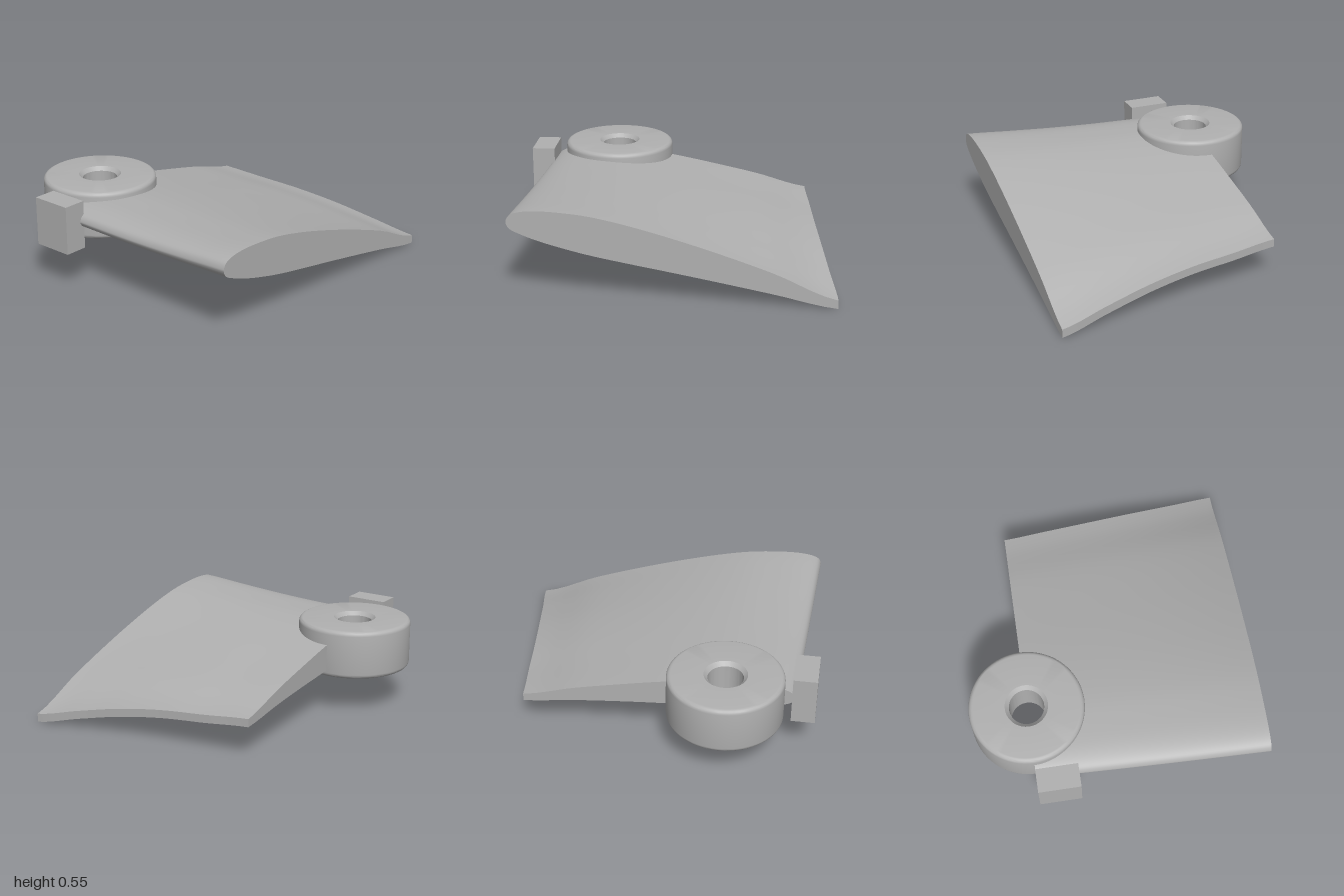
import * as THREE from 'three';
import { toCreasedNormals } from 'three/addons/utils/BufferGeometryUtils.js';

const HUB = { x: -0.455, z: -0.54, r: 0.355, bore: 0.108, y0: 0.25, y1: 0.555 };
const FRONT = 0.89, BACK = -0.54;

// Smooth 1D function on 0..1 through evenly spaced values
function smooth(values) {
  const c = new THREE.SplineCurve(values.map((y, i) => new THREE.Vector2(i, y)));
  return (t) => c.getPoint(t).y;
}

// Section heights from leading edge to trailing edge (spacing is quadratic in chord)
const tip = {
  upper: smooth([0.475, 0.515, 0.538, 0.547, 0.542, 0.523, 0.478, 0.41, 0.32, 0.205, 0.055]),
  lower: smooth([0.475, 0.435, 0.405, 0.368, 0.328, 0.285, 0.243, 0.197, 0.142, 0.077, 0.002]),
};
const root = {
  upper: smooth([0.42, 0.455, 0.48, 0.497, 0.503, 0.503, 0.485, 0.45, 0.4, 0.338, 0.255]),
  lower: smooth([0.42, 0.392, 0.368, 0.342, 0.322, 0.31, 0.3, 0.288, 0.27, 0.244, 0.205]),
};
// Blend from tip to root along the span, for height and for the trailing edge
const twist = smooth([0, 0.31, 0.6, 0.79, 0.89, 1]);
const trailingX = smooth([0.995, 0.946, 0.9, 0.86, 0.828, 0.795]);

// Point on the blade: u along the chord, v from lower (0) to upper (1) skin, r from tip to root
function bladePoint(u, v, r) {
  const rootX = -0.875 + 1.67 * u * u;
  // the root stops inside the hub wall, clear of the bore
  const d = 0.25 ** 2 - (rootX - HUB.x) ** 2;
  const zEnd = BACK + (d > 0 ? Math.sqrt(d) : 0);
  const z = FRONT + (zEnd - FRONT) * r;
  const k = (FRONT - z) / (FRONT - BACK);
  const lead = -0.935 + 0.06 * k;
  const x = lead + (trailingX(k) - lead) * u * u;
  const w = twist(k);
  const lo = tip.lower(u) * (1 - w) + root.lower(u) * w;
  const hi = tip.upper(u) * (1 - w) + root.upper(u) * w;
  return [x, lo + (hi - lo) * v, z];
}

// Grid surface facing along d/da x d/db
function grid(fn, na, nb) {
  const pos = [], idx = [];
  for (let j = 0; j <= nb; j++)
    for (let i = 0; i <= na; i++) pos.push(...fn(i / na, j / nb));
  for (let j = 0; j < nb; j++)
    for (let i = 0; i < na; i++) {
      const a = j * (na + 1) + i, b = a + na + 1;
      idx.push(a, a + 1, b, a + 1, b + 1, b);
    }
  const g = new THREE.BufferGeometry();
  g.setAttribute('position', new THREE.Float32BufferAttribute(pos, 3));
  g.setIndex(idx);
  g.computeVertexNormals();
  return g;
}

export function createModel() {
  const model = new THREE.Group();
  model.name = 'bladeWithHub';
  const grey = new THREE.MeshStandardMaterial({ color: 0xb0b0b0 });
  grey.name = 'grey';
  const add = (name, geometry, parent = model) => {
    const m = new THREE.Mesh(geometry, grey);
    m.name = name;
    parent.add(m);
    return m;
  };

  // Twisted blade: one skin wrapped round the leading edge, plus three edge faces
  const blade = new THREE.Group();
  blade.name = 'blade';
  model.add(blade);
  add('bladeSkin', grid((a, r) => {
    const p = 2 * a - 1;
    return bladePoint(Math.abs(p), p > 0 ? 1 : 0, r);
  }, 96, 32), blade);
  add('tipFace', grid((u, v) => bladePoint(u, v, 0), 48, 1), blade);
  add('rootFace', grid((a, v) => bladePoint(1 - a, v, 1), 48, 1), blade);
  add('trailingEdge', grid((r, v) => bladePoint(1, v, r), 32, 1), blade);

  // Hub ring with rounded rims and a chamfered bore
  const { r, bore, y0, y1 } = HUB, f = 0.028, c = 0.024;
  const profile = [];
  for (let i = 0; i <= 5; i++) {
    const t = (i / 5) * Math.PI / 2;
    profile.push(new THREE.Vector2(r - f + f * Math.sin(t), y0 + f - f * Math.cos(t)));
  }
  for (let i = 0; i <= 5; i++) {
    const t = (i / 5) * Math.PI / 2;
    profile.push(new THREE.Vector2(r - f + f * Math.cos(t), y1 - f + f * Math.sin(t)));
  }
  for (const [x, y] of [[bore + c, y1], [bore, y1 - c], [bore, y0 + c], [bore + c, y0]])
    profile.push(new THREE.Vector2(x, y));
  profile.push(profile[0].clone());
  const hub = add('hub', toCreasedNormals(new THREE.LatheGeometry(profile, 72), 0.5));
  hub.position.set(HUB.x, 0, HUB.z);

  // Stop block beside the leading edge
  const block = add('stopBlock', new THREE.BoxGeometry(0.145, y1 - y0, 0.26));
  block.position.set(-0.9275, (y0 + y1) / 2, -0.41);

  return model;
}
